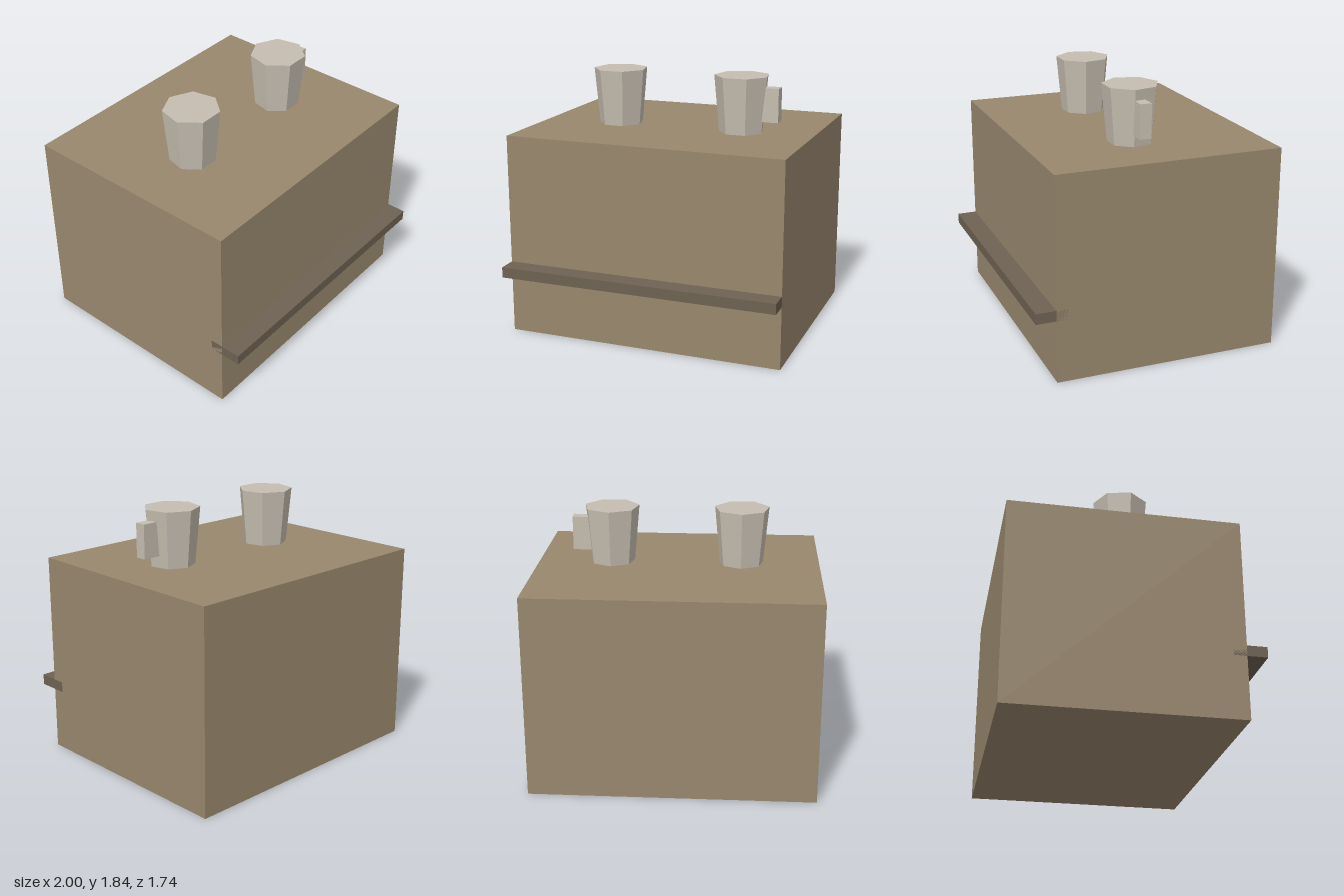
import * as THREE from 'three';

const material = (color) => new THREE.MeshStandardMaterial({ color, flatShading: true });

// Box given by its minimum and maximum corners
function block(name, min, max, mat) {
  const size = max.map((v, i) => v - min[i]);
  const mesh = new THREE.Mesh(new THREE.BoxGeometry(...size), mat);
  mesh.position.set(...max.map((v, i) => (v + min[i]) / 2));
  mesh.name = name;
  return mesh;
}

export function createModel() {
  const wood = material(0x98876d);
  const darkWood = material(0x6e6252);
  const ceramic = material(0xc5bdb0);
  const model = new THREE.Group();
  model.name = 'counterWithCups';

  // Counter body and the ledge set into its front
  model.add(block('counter', [-1, 0, -0.87], [1, 1.44, 0.73], wood));
  model.add(block('frontLedge', [-1, 0.445, 0.64], [1, 0.52, 0.87], darkWood));

  // Seven-sided tapered cups, one corner pointing back
  const cupGeometry = new THREE.CylinderGeometry(0.197, 0.16, 0.4, 7);
  cupGeometry.rotateY(Math.PI);
  for (const [name, x] of [['rightCup', -0.445], ['leftCup', 0.477]]) {
    const cup = new THREE.Mesh(cupGeometry, ceramic);
    cup.name = name;
    cup.position.set(x, 1.64, 0.006);
    model.add(cup);
  }

  // Handle on the left cup
  model.add(block('cupHandle', [0.58, 1.525, -0.03], [0.755, 1.765, 0.05], ceramic));
  return model;
}
